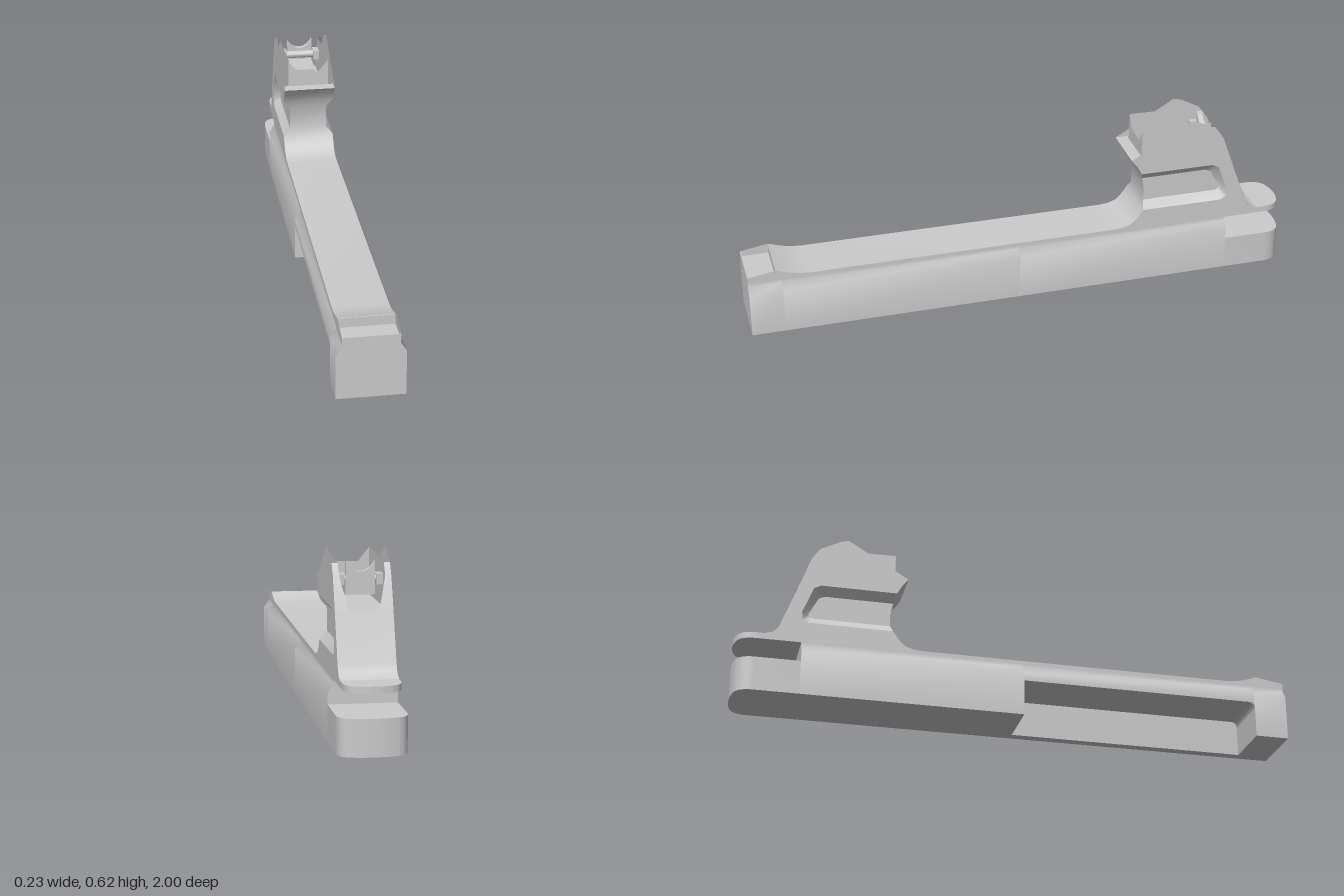
import * as THREE from 'three';
import { toCreasedNormals } from 'three/addons/utils/BufferGeometryUtils.js';

const material = new THREE.MeshStandardMaterial({ color: 0xcccccc, side: THREE.DoubleSide });
const shapeOf = (pts) => new THREE.Shape(pts.map(([a, b]) => new THREE.Vector2(a, b)));

export function createModel() {
  const model = new THREE.Group();
  const add = (name, geometry) => {
    const mesh = new THREE.Mesh(toCreasedNormals(geometry, 0.6), material);
    mesh.name = name;
    model.add(mesh);
    return mesh;
  };
  const box = (name, w, h, d, x, y, z) =>
    add(name, new THREE.BoxGeometry(w, h, d).translate(x, y, z));
  // Flat panel given as (z, y) points, standing at a fixed x
  const sidePanel = (name, pts, x) =>
    add(name, new THREE.ShapeGeometry(shapeOf(pts)).rotateY(-Math.PI / 2).translate(x, 0, 0));
  // Ruled surface between two rows of 3D points
  const loft = (name, a, b) => {
    const index = [];
    const n = a.length;
    for (let i = 0; i < n - 1; i++) index.push(i, i + 1, n + i, i + 1, n + i + 1, n + i);
    const g = new THREE.BufferGeometry();
    g.setAttribute('position', new THREE.Float32BufferAttribute([...a, ...b].flat(), 3));
    g.setIndex(index);
    g.computeVertexNormals();
    return add(name, g);
  };

  // Lower bar: full section at both ends, open on one side in between
  const top = [[0.115, 0.16], [0.095, 0.19], [0.095, 0.203], [-0.095, 0.203], [-0.095, 0.19], [-0.115, 0.16]];
  const full = [[-0.115, 0], [0.115, 0], ...top];
  const notched = [[0.08, 0], [0.115, 0], ...top, [-0.115, 0.13], [0.08, 0.13]];
  const bar = (name, section, z0, z1) =>
    add(name, new THREE.ExtrudeGeometry(shapeOf(section), { depth: z1 - z0, bevelEnabled: false }).translate(0, 0, z0));
  bar('rearBar', full, -0.77, 0.02);
  bar('notchedBar', notched, 0.02, 0.88);
  bar('frontBlock', full, 0.88, 1);

  // Fillet between the notch ceiling and the front block
  const fillet = new THREE.Shape();
  fillet.moveTo(0.88, 0.13).lineTo(0.855, 0.13).quadraticCurveTo(0.88, 0.13, 0.88, 0.105);
  add('notchFillet', new THREE.ExtrudeGeometry(fillet, { depth: 0.193, bevelEnabled: false })
    .rotateY(-Math.PI / 2).translate(0.079, 0, 0));

  // Rounded tail plates above and below the rear slot
  const tail = (name, w, y0, y1) => {
    const s = new THREE.Shape();
    s.moveTo(w, -0.77).lineTo(w, -0.925);
    s.quadraticCurveTo(w, -0.982, w - 0.045, -0.992);
    s.quadraticCurveTo(0, -1.008, -w + 0.045, -0.992);
    s.quadraticCurveTo(-w, -0.982, -w, -0.925);
    s.lineTo(-w, -0.77);
    add(name, new THREE.ExtrudeGeometry(s, { depth: y1 - y0, bevelEnabled: false })
      .rotateX(Math.PI / 2).translate(0, y1, 0));
  };
  tail('lowerTail', 0.115, 0, 0.123);
  tail('upperTail', 0.094, 0.203, 0.225);

  // Profile in (z, y, half width)
  const W = 0.095, P = 0.07;
  const deck = [
    [0.9, 0.24, W], [0.85, 0.224, W], [0.82, 0.217, W], [0.78, 0.214, W], [-0.34, 0.214, W],
    [-0.375, 0.217, W], [-0.405, 0.227, W], [-0.425, 0.245, W], [-0.45, 0.28, W],
  ];
  const pocketFront = [[-0.457, 0.31, P], [-0.459, 0.35, P], [-0.449, 0.4, P]];
  const brow = [[-0.44, 0.43, W], [-0.423, 0.46, W], [-0.4, 0.49, W]];
  const well = [[-0.445, 0.49, W], [-0.445, 0.43, W], [-0.788, 0.43, W]];
  const back = [[-0.845, 0.27, W], [-0.855, 0.248, W], [-0.87, 0.233, W], [-0.895, 0.2255, W]];
  const strip = [...deck, ...pocketFront, ...brow, ...well, ...back];
  loft('topAndTowerSkin', strip.map(([z, y, w]) => [w, y, z]), strip.map(([z, y, w]) => [-w, y, z]));

  // Side walls with a sloped pocket, mirrored
  const outer = [[-0.44, 0.43], [-0.71, 0.43], [-0.735, 0.418], [-0.773, 0.32], [-0.77, 0.292], [-0.75, 0.28], [-0.45, 0.28]];
  const inner = [[-0.449, 0.4], [-0.695, 0.4], [-0.715, 0.39], [-0.748, 0.326], [-0.746, 0.315], [-0.735, 0.31], [-0.457, 0.31]];
  const crest = [[-0.62, 0.62], [-0.65, 0.612], [-0.7, 0.585], [-0.72, 0.575], [-0.748, 0.535]];
  const wall = [
    [1, 0.203], [1, 0.224], ...deck, ...[...outer].reverse().slice(1),
    ...brow.slice(1), ...crest, ...back, [-0.895, 0.203],
  ];
  for (const s of [-1, 1]) {
    sidePanel('sideWall', wall, s * W);
    loft('pocketRim', outer.map(([z, y]) => [s * W, y, z]), inner.map(([z, y]) => [s * P, y, z]));
    sidePanel('pocketFloor', [...inner, [-0.459, 0.35]], s * P);
    // Rear post beside the tower opening
    const post = [[-0.788, 0.43], [-0.748, 0.535], [-0.72, 0.575]];
    loft('rearPost', post.map(([z, y]) => [s * W, y, z]),
      post.map(([z, y], i) => [s * (i ? 0.075 : 0.05), y, z]));
    // Cradle side
    sidePanel('cradleSide', [[-0.445, 0.43], [-0.445, 0.59], [-0.56, 0.588], [-0.72, 0.575], [-0.748, 0.535], [-0.788, 0.43]], s * 0.075);
    box('pinSeat', 0.022, 0.035, 0.045, s * 0.063, 0.52, -0.695);
  }

  // Front lip and step of the shallow tray
  box('trayLip', 0.19, 0.02, 0.004, 0, 0.213, 0.998);
  box('trayStep', 0.188, 0.034, 0.003, 0, 0.22, 0.898);

  // Cradle front plate with a V-shaped top
  add('cradleFront', new THREE.ShapeGeometry(shapeOf([
    [-0.075, 0.48], [0.075, 0.48], [0.075, 0.59], [0.038, 0.543], [-0.038, 0.543], [-0.075, 0.59],
  ])).translate(0, 0, -0.444));

  // Rear notch blade, its tongue and the cross pin
  const blade = new THREE.Shape();
  blade.moveTo(-0.048, 0.47).lineTo(0.048, 0.47).lineTo(0.048, 0.581);
  blade.quadraticCurveTo(0.03, 0.545, 0, 0.545).quadraticCurveTo(-0.03, 0.545, -0.048, 0.581);
  add('notchBlade', new THREE.ExtrudeGeometry(blade, { depth: 0.02, bevelEnabled: false }).translate(0, 0, -0.715));
  box('bladeTongue', 0.09, 0.03, 0.12, 0, 0.485, -0.64);
  add('crossPin', new THREE.CylinderGeometry(0.014, 0.014, 0.15, 16).rotateZ(Math.PI / 2).translate(0, 0.52, -0.695));

  return model;
}
